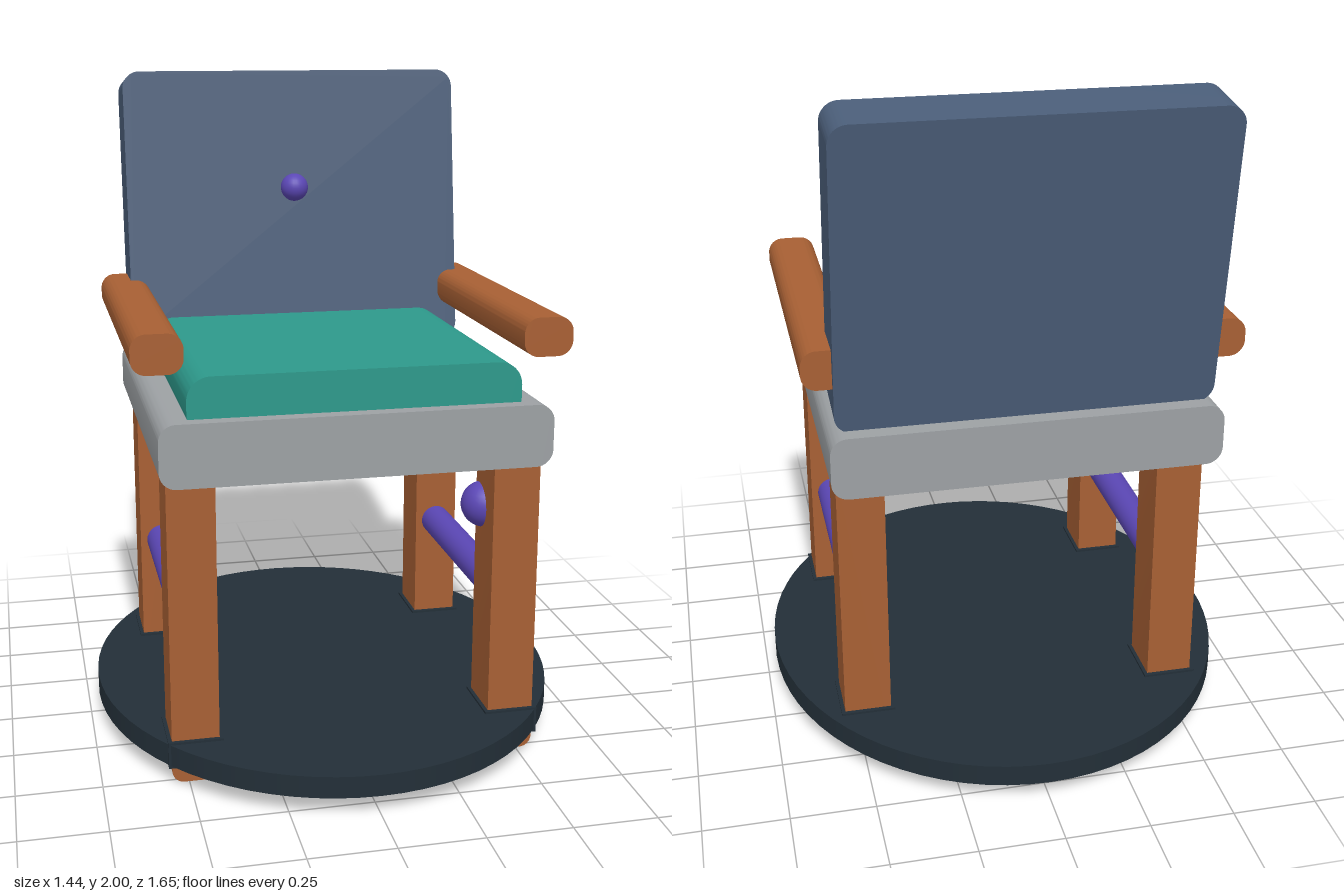
import * as THREE from 'three';
import { toCreasedNormals } from 'three/addons/utils/BufferGeometryUtils.js';

const mat = (name, color) => {
  const m = new THREE.MeshStandardMaterial({ color });
  m.name = name;
  return m;
};

// Block with rounded corners in the xy outline, straight along z, centred on the origin
function slab(w, h, d, r) {
  const x = w / 2, y = h / 2, s = new THREE.Shape();
  s.absarc(x - r, y - r, r, 0, Math.PI / 2);
  s.absarc(-x + r, y - r, r, Math.PI / 2, Math.PI);
  s.absarc(-x + r, -y + r, r, Math.PI, Math.PI * 1.5);
  s.absarc(x - r, -y + r, r, Math.PI * 1.5, Math.PI * 2);
  s.closePath();
  const g = new THREE.ExtrudeGeometry(s, { depth: d, bevelEnabled: false, curveSegments: 8 });
  g.translate(0, 0, -d / 2);
  return toCreasedNormals(g, 0.6);
}

export function createModel() {
  const group = new THREE.Group();
  const wood = mat('wood', 0xa86034);
  const blue = mat('backFabric', 0x4a5d78);
  const teal = mat('cushionFabric', 0x2d998b);
  const grey = mat('seatGrey', 0x9da1a4);
  const purple = mat('purple', 0x5b47b5);
  const dark = mat('baseDark', 0x232f38);

  const add = (name, geometry, material, x, y, z) => {
    const mesh = new THREE.Mesh(geometry, material);
    mesh.name = name;
    mesh.position.set(x, y, z);
    group.add(mesh);
    return mesh;
  };

  // Oval base plate
  const base = add('basePlate', new THREE.CylinderGeometry(1, 1, 0.065, 72), dark, 0, 0.0975, 0);
  base.scale.set(0.722, 1, 0.825);

  // Seat and cushion
  add('seat', slab(1.14, 0.185, 1.12, 0.05), grey, 0, 1.0025, 0);
  add('cushion', slab(0.97, 0.175, 0.965, 0.07), teal, 0, 1.1275, 0.0325);

  // Reclined back with a button
  const back = add('backrest', slab(1.1, 0.9, 0.176, 0.055), blue, 0, 1.545, -0.482);
  back.rotation.x = -0.138;
  add('backButton', new THREE.SphereGeometry(0.045, 24, 16), purple, 0, 1.628, -0.39);

  // Legs, collars, armrests and side rails, mirrored
  const legGeo = slab(0.14, 0.94, 0.163, 0.035);
  const collarGeo = new THREE.BoxGeometry(0.162, 0.08, 0.187);
  const armGeo = slab(0.147, 0.115, 1.025, 0.045);
  const railGeo = new THREE.CylinderGeometry(0.049, 0.049, 0.68, 24).rotateX(Math.PI / 2);
  for (const side of [-1, 1]) {
    for (const [label, z] of [['front', 0.437], ['back', -0.375]]) {
      add(label + 'Leg', legGeo, wood, side * 0.479, 0.475, z);
      add(label + 'LegCollar', collarGeo, dark, side * 0.479, 0.097, z);
    }
    add('armrest', armGeo, wood, side * 0.562, 1.282, 0.002);
    add('sideRail', railGeo, purple, side * 0.479, 0.47, 0.033);
  }

  // Knob on the inner corner of the left front leg
  add('legKnob', new THREE.SphereGeometry(0.07, 24, 16), purple, 0.424, 0.75, 0.384);

  return group;
}
